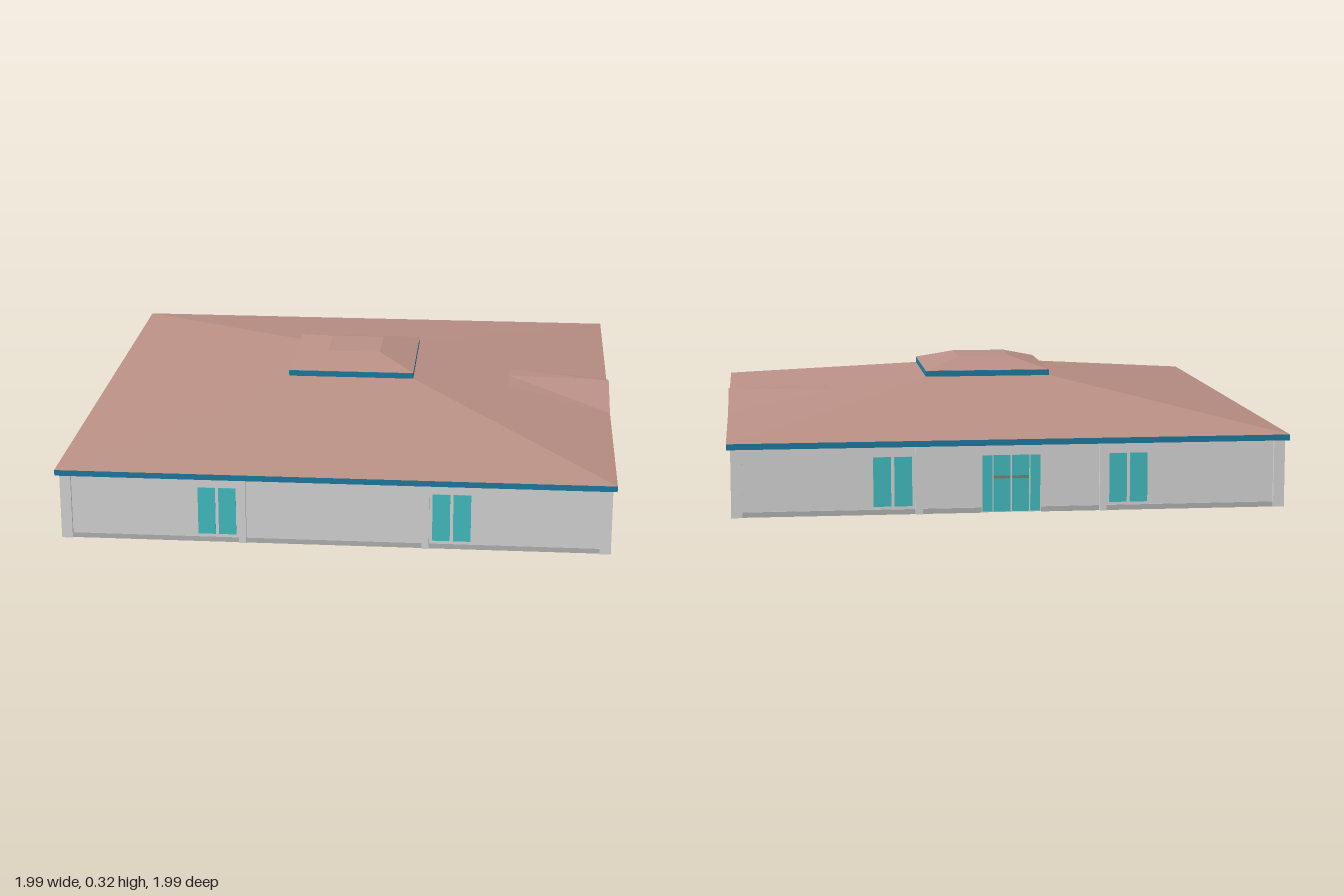
import * as THREE from 'three';

const mat = (name, color, side = THREE.FrontSide) => {
  const m = new THREE.MeshStandardMaterial({ color, side });
  m.name = name;
  return m;
};

export function createModel() {
  const wallMat = mat('wall grey', 0xdcdcdc);
  const trimMat = mat('trim grey', 0xb8b8b8);
  const glassMat = mat('teal glass', 0x45c3c7);
  const fasciaMat = mat('blue fascia', 0x1f7fa6);
  const roofMat = mat('clay roof', 0xb98f85, THREE.DoubleSide);
  const railMat = mat('door rail', 0x8c8480);

  const HALF = 0.69;      // wall face distance from the centre
  const EAVE = 0.708;     // roof edge distance
  const EAVE_Y = 0.187;
  const RING = 0.17;      // lantern half width
  const RING_Y = 0.278;
  const roofY = d => EAVE_Y + (EAVE - d) / (EAVE - RING) * (RING_Y - EAVE_Y);

  const model = new THREE.Group();
  model.name = 'pavilion';
  const building = new THREE.Group();
  building.name = 'building';
  building.rotation.y = THREE.MathUtils.degToRad(40);
  model.add(building);

  const add = (parent, name, geometry, material) => {
    const mesh = new THREE.Mesh(geometry, material);
    mesh.name = name;
    parent.add(mesh);
    return mesh;
  };
  // Box given by its span along the wall, its height span and its depth
  const block = (parent, name, u0, u1, y0, y1, z, depth, material) => {
    const mesh = add(parent, name, new THREE.BoxGeometry(u1 - u0, y1 - y0, depth), material);
    mesh.position.set((u0 + u1) / 2, (y0 + y1) / 2, z);
  };
  // Upright plate cut from an outline
  const plate = (parent, name, points, z, depth, material) => {
    const shape = new THREE.Shape(points.map(p => new THREE.Vector2(...p)));
    const geometry = new THREE.ExtrudeGeometry(shape, { depth, bevelEnabled: false });
    add(parent, name, geometry, material).position.z = z;
  };
  // Flat-shaded surface made from quads of corner points
  const quads = (parent, name, list, material) => {
    const pos = list.flatMap(([a, b, c, d]) => [a, b, c, a, c, d].flat());
    const geometry = new THREE.BufferGeometry();
    geometry.setAttribute('position', new THREE.Float32BufferAttribute(pos, 3));
    geometry.computeVertexNormals();
    return add(parent, name, geometry, material);
  };

  // One side of the building, facing its own +z
  function buildSide(name, angle, { panes, windowEnd, door, gable }) {
    const side = new THREE.Group();
    side.name = name;
    side.rotation.y = angle;
    building.add(side);

    // Wall, rising to a peak under the entrance gable
    const wallTop = gable ? [[0.14, 0.184], [0, 0.224], [-0.14, 0.184]] : [];
    plate(side, 'wall', [[-HALF, 0], [HALF, 0], [HALF, 0.184], ...wallTop, [-HALF, 0.184]],
      HALF - 0.006, 0.006, wallMat);

    // Fascia along the eave
    const low = gable ? [[-0.15, 0.172], [0, 0.217], [0.15, 0.172]] : [];
    const high = gable ? [[0.15, EAVE_Y], [0, 0.232], [-0.15, EAVE_Y]] : [];
    plate(side, 'fascia', [[-EAVE, 0.172], ...low, [EAVE, 0.172], [EAVE, EAVE_Y], ...high, [-EAVE, EAVE_Y]],
      EAVE - 0.008, 0.008, fasciaMat);

    for (const s of [-1, 1]) {
      // Posts and base strip
      block(side, 'post', s * 0.232 - 0.009, s * 0.232 + 0.009, 0, 0.18, HALF - 0.003, 0.024, wallMat);
      const inner = door ? 0.075 : 0;
      block(side, 'baseStrip', Math.min(s * inner, s * HALF), Math.max(s * inner, s * HALF),
        0, 0.013, HALF - 0.003, 0.014, trimMat);
      // Window panes, showing on both faces of the wall
      const pitch = (windowEnd - 0.245) / panes;
      for (let i = 0; i < panes; i++) {
        const c = s * (0.245 + (i + 0.5) * pitch);
        block(side, 'windowPane', c - pitch / 2 + 0.004, c + pitch / 2 - 0.004,
          0.02, 0.145, HALF - 0.003, 0.0095, glassMat);
      }
      // Double door with a narrow side light
      if (door) {
        const span = (n, a, b, y0, y1, m) => block(side, n, Math.min(s * a, s * b), Math.max(s * a, s * b),
          y0, y1, HALF - 0.003, 0.0095, m);
        span('doorLeaf', 0.002, 0.045, 0.002, 0.086, glassMat);
        span('doorRail', 0.002, 0.045, 0.086, 0.093, railMat);
        span('doorTopLight', 0.002, 0.045, 0.093, 0.145, glassMat);
        span('doorSideLight', 0.048, 0.073, 0.002, 0.145, glassMat);
      }
    }

    // Corner post at one end; the next side brings the other
    block(side, 'cornerPost', HALF - 0.02, HALF + 0.008, 0, 0.18, HALF - 0.006, 0.028, wallMat);

    // Roof slope, notched where the gable runs in
    const E = x => [x, EAVE_Y, EAVE];
    const T = x => [x, RING_Y, RING];
    const N = x => [x, roofY(0.43), 0.43];
    if (gable) {
      quads(side, 'roofSlope', [
        [E(-EAVE), E(-0.15), N(-0.08), T(-RING)],
        [T(-RING), N(-0.08), N(0.08), T(RING)],
        [T(RING), N(0.08), E(0.15), E(EAVE)],
      ], roofMat);
      const front = [0, 0.232, EAVE], back = [0, 0.239, 0.43];
      quads(side, 'gableRoof', [
        [E(-0.15), front, back, N(-0.08)],
        [front, E(0.15), N(0.08), back],
        [N(0.08), N(-0.08), back, back],
      ], roofMat);
    } else {
      quads(side, 'roofSlope', [[E(-EAVE), E(EAVE), T(RING), T(-RING)]], roofMat);
    }

    // Raised lantern: thin fascia and its slope
    block(side, 'lanternFascia', -RING, RING, RING_Y - 0.002, 0.293, RING - 0.002, 0.004, fasciaMat);
    quads(side, 'lanternSlope', [[
      [-RING, 0.294, RING], [RING, 0.294, RING], [0.072, 0.322, 0.072], [-0.072, 0.322, 0.072],
    ]], roofMat);
  }

  const wide = { panes: 4, windowEnd: 0.465 };
  const narrow = { panes: 2, windowEnd: 0.35 };
  buildSide('plainSide', 0, narrow);
  buildSide('entranceSide', Math.PI / 2, { ...wide, door: true, gable: true });
  buildSide('doorSide', Math.PI, { ...narrow, door: true });
  buildSide('windowSide', -Math.PI / 2, wide);

  // Flat cap of the lantern
  const k = 0.072;
  quads(building, 'lanternCap', [[[-k, 0.322, k], [k, 0.322, k], [k, 0.322, -k], [-k, 0.322, -k]]], roofMat);

  return model;
}
